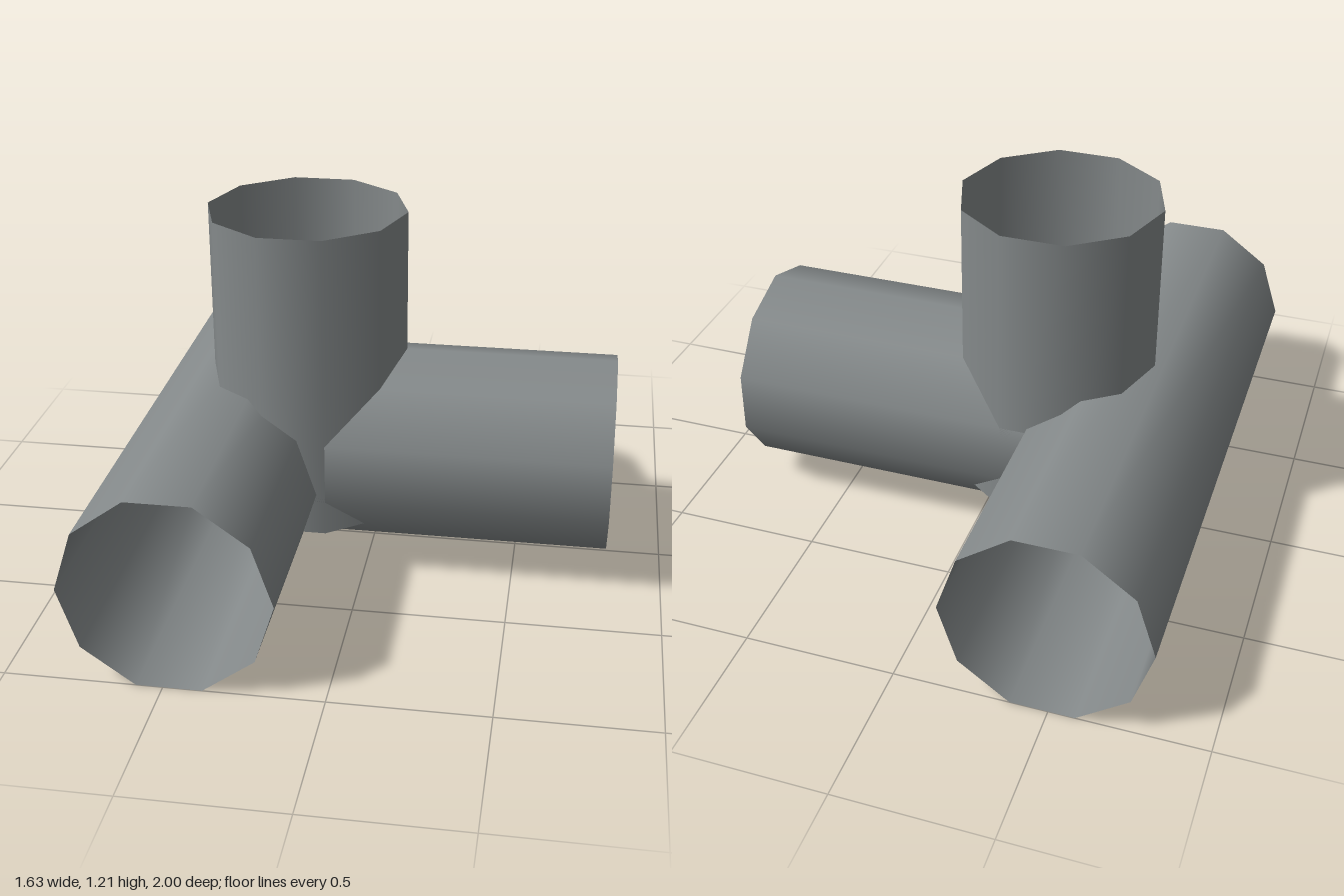
import * as THREE from 'three';

const RADIUS = 0.333;
const SIDES = 10;

export function createModel() {
  const model = new THREE.Group();
  model.name = 'pipeJunction';

  const greyMetal = new THREE.MeshStandardMaterial({ color: 0x858a8b, side: THREE.DoubleSide });
  greyMetal.name = 'greyMetal';

  // Open ten-sided pipe with smooth walls, corners on its local x axis
  function addPipe(name, length, position, rotation = [0, 0, 0]) {
    const geometry = new THREE.CylinderGeometry(RADIUS, RADIUS, length, SIDES, 1, true, Math.PI / 2);
    const pipe = new THREE.Mesh(geometry, greyMetal);
    pipe.name = name;
    pipe.position.set(...position);
    pipe.rotation.set(...rotation);
    model.add(pipe);
  }

  // Long main pipe running front to back
  addPipe('mainPipe', 2, [-0.481, 0.317, 0], [Math.PI / 2, 0, 0]);
  // Upright branch
  addPipe('uprightPipe', 1.034, [-0.222, 0.69, 0]);
  // Side branch towards +x
  addPipe('sidePipe', 1.034, [0.296, 0.393, 0], [0, 0, -Math.PI / 2]);

  return model;
}
